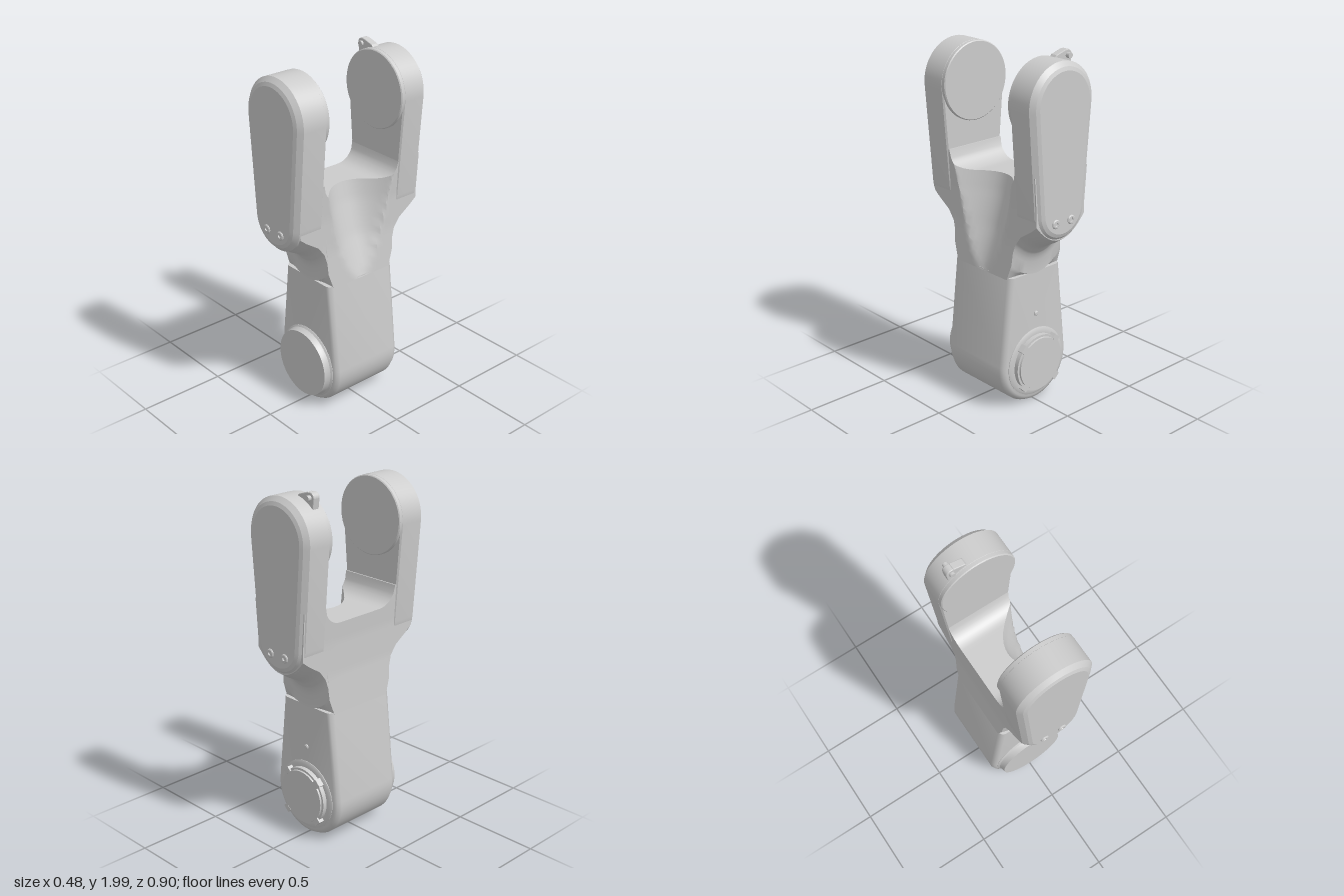
import * as THREE from 'three';
import { toCreasedNormals } from 'three/addons/utils/BufferGeometryUtils.js';

const material = new THREE.MeshStandardMaterial({ color: 0xcccccc });

// Piecewise-linear curve through [position, value] pairs
function curve(pairs, v) {
  if (v <= pairs[0][0]) return pairs[0][1];
  for (let i = 1; i < pairs.length; i++) {
    const [a, fa] = pairs[i - 1], [b, fb] = pairs[i];
    if (v <= b) return fa + ((fb - fa) * (v - a)) / (b - a);
  }
  return pairs[pairs.length - 1][1];
}

// Closed loft through equal-length rings, counter-clockwise seen from +z, ordered by rising z
function loft(rings, crease) {
  const n = rings[0].length, pos = rings.flat(2), index = [];
  for (let r = 0; r < rings.length - 1; r++) {
    for (let i = 0; i < n; i++) {
      const a = r * n + i, b = r * n + ((i + 1) % n);
      index.push(a, b, b + n, a, b + n, a + n);
    }
  }
  [0, rings.length - 1].forEach((r, end) => {
    const mid = [0, 1, 2].map((k) => rings[r].reduce((s, p) => s + p[k], 0) / n);
    const c = pos.length / 3;
    pos.push(...mid);
    for (let i = 0; i < n; i++) {
      const a = r * n + i, b = r * n + ((i + 1) % n);
      if (end) index.push(c, a, b);
      else index.push(c, b, a);
    }
  });
  const g = new THREE.BufferGeometry();
  g.setAttribute('position', new THREE.Float32BufferAttribute(pos, 3));
  g.setIndex(index);
  return toCreasedNormals(g, crease);
}

// Outline around two circles on the vertical axis, lower then upper
function capsule(yLow, rLow, yHigh, rHigh, z, inset, yMax = Infinity) {
  const pts = [], N = 28;
  const tilt = Math.asin((rLow - rHigh) / (yHigh - yLow));
  const arc = (y, r, from, to) => {
    for (let i = 0; i <= N; i++) {
      const a = from + ((to - from) * i) / N;
      pts.push([r * Math.cos(a), Math.min(yMax, y + r * Math.sin(a)), z]);
    }
  };
  arc(yLow, rLow - inset, -Math.PI - tilt, tilt);
  arc(yHigh, rHigh - inset, tilt, Math.PI - tilt);
  return pts;
}

// Neck that flares from the body to both prongs, with a saddle and a scoop on one side
function neckGeometry() {
  const widths = [[0.78, 0.187], [1.0, 0.171], [1.19, 0.172], [1.42, 0.188]];
  const flare = [[0.23, 0.78], [0.235, 0.85], [0.25, 0.9], [0.29, 0.95], [0.37, 0.995], [0.42, 1.03]];
  const lift = [[0.2, 0], [0.23, 0.09], [0.42, 0.11]];
  const half = [0.03, 0.06, 0.09, 0.12, 0.15, 0.17, 0.19, 0.2, 0.21, 0.22, 0.23, 0.235, 0.242, 0.25, 0.26, 0.275, 0.29, 0.33, 0.37, 0.41];
  const us = [...half.map((u) => -u).reverse(), 0, ...half];
  const P = 12, M = 20;
  const rings = us.map((s) => {
    const u = Math.abs(s), z = s - 0.01, ring = [];
    const f = THREE.MathUtils.clamp((u - 0.15) / 0.11, 0, 1);
    const top = 1.29 + 0.11 * (1 - Math.sqrt(1 - f * f));
    const bottom = (k) => curve(flare, u) + curve(lift, u) * k * k;
    const scoop = (y) => 0.165 * Math.max(0, (y - 0.78) / 0.51 - (u / 0.22) ** 2);
    const edge = bottom(1);
    for (let i = 0; i < P; i++) {
      const k = -1 + (2 * i) / P;
      ring.push([k * curve(widths, edge), bottom(k), z]);
    }
    for (let i = 0; i <= M; i++) {
      const y = edge + ((top - edge) * i) / M;
      ring.push([curve(widths, y) - scoop(y), y, z]);
    }
    for (let i = M; i > 0; i--) {
      const y = edge + ((top - edge) * i) / M;
      ring.push([-curve(widths, y), y, z]);
    }
    return ring;
  });
  return loft(rings, 0.6);
}

export function createModel() {
  const model = new THREE.Group();
  model.name = 'forkedArm';
  const add = (name, geometry, x = 0, y = 0, z = 0, parent = model) => {
    const mesh = new THREE.Mesh(geometry, material);
    mesh.name = name;
    mesh.position.set(x, y, z);
    parent.add(mesh);
    return mesh;
  };
  // Turned part about the z axis from [radius, z] points
  const turned = (points, segments = 48) => toCreasedNormals(
    new THREE.LatheGeometry(points.map(([r, z]) => new THREE.Vector2(r, z)), segments).rotateX(Math.PI / 2), 0.5);

  // Lower body with rounded edges
  const bodyLayers = [[-0.24, 0.03], [-0.232, 0.012], [-0.21, 0], [0.19, 0], [0.212, 0.012], [0.22, 0.03]];
  add('body', loft(bodyLayers.map(([z, inset]) => capsule(0.25, 0.242, 0.79, 0.186, z, inset, 0.79)), 0.7));
  add('neck', neckGeometry());

  // Front joint cover with a filleted foot
  add('frontJointCover', turned([[0, 0.21], [0.213, 0.21], [0.213, 0.222], [0.203, 0.23], [0.197, 0.245], [0.195, 0.265], [0, 0.265]].map(([r, z]) => [r, z])), 0, 0.25);

  // Rear joint: collar, flange and four locking tabs
  const rear = new THREE.Group();
  rear.name = 'rearJoint';
  rear.position.set(0, 0.25, 0);
  rear.rotation.y = Math.PI;
  model.add(rear);
  add('rearCollar', turned([[0, 0.23], [0.2, 0.23], [0.2, 0.243], [0.185, 0.25], [0.165, 0.25], [0.165, 0.275], [0.152, 0.275], [0.15, 0.284], [0, 0.284]]), 0, 0, 0, rear);
  for (let i = 0; i < 4; i++) {
    const a = Math.PI / 4 + (i * Math.PI) / 2;
    const tab = add('lockingTab', new THREE.BoxGeometry(0.03, 0.045, 0.035), 0.165 * Math.cos(a), 0.165 * Math.sin(a), 0.267, rear);
    tab.rotation.z = a;
  }
  add('rearNub', turned([[0, 0.235], [0.014, 0.235], [0.014, 0.246], [0.008, 0.25], [0, 0.25]], 16), 0, 0.29, 0, rear);

  // Two prongs: chamfered shell, round inner pad and a pair of screws
  for (const side of [1, -1]) {
    const prong = new THREE.Group();
    prong.name = side > 0 ? 'frontProng' : 'backProng';
    prong.rotation.y = side > 0 ? 0 : Math.PI;
    model.add(prong);
    const inner = side > 0 ? 0.257 : 0.268;
    const layers = [[inner, 0.008], [inner + 0.008, 0], [0.408, 0], [0.432, 0.025], [0.44, 0.045]];
    add('prongShell', loft(layers.map(([z, inset]) => capsule(1.195, 0.176, 1.752, 0.22, z, inset)), 0.35), 0, 0, 0, prong);
    const face = inner - 0.018;
    add('innerPad', turned([[0, face], [0.214, face], [0.219, face + 0.005], [0.219, inner + 0.01], [0, inner + 0.01]], 56), 0, 1.752, 0, prong);
    for (const x of [-0.055, 0.055]) {
      add('screw', turned([[0, 0.43], [0.025, 0.43], [0.025, 0.444], [0.02, 0.448], [0.011, 0.448], [0.009, 0.442], [0, 0.442]], 20), x, 1.13, 0, prong);
    }
  }

  // Small lug with a cross pin on top of the back prong
  const lug = new THREE.Shape();
  lug.moveTo(-0.03, 1.955);
  lug.lineTo(-0.05, 1.978);
  lug.lineTo(-0.115, 1.998);
  lug.absarc(-0.128, 1.968, 0.03, 1.2, Math.PI, false);
  lug.lineTo(-0.15, 1.91);
  lug.lineTo(-0.03, 1.91);
  add('lug', new THREE.ExtrudeGeometry(lug, { depth: 0.034, bevelSize: 0.004, bevelThickness: 0.004, bevelOffset: -0.004, bevelSegments: 2 }), 0, 0, -0.319);
  add('lugPin', new THREE.CylinderGeometry(0.015, 0.015, 0.076, 18).rotateX(Math.PI / 2), -0.128, 1.968, -0.306);

  return model;
}
